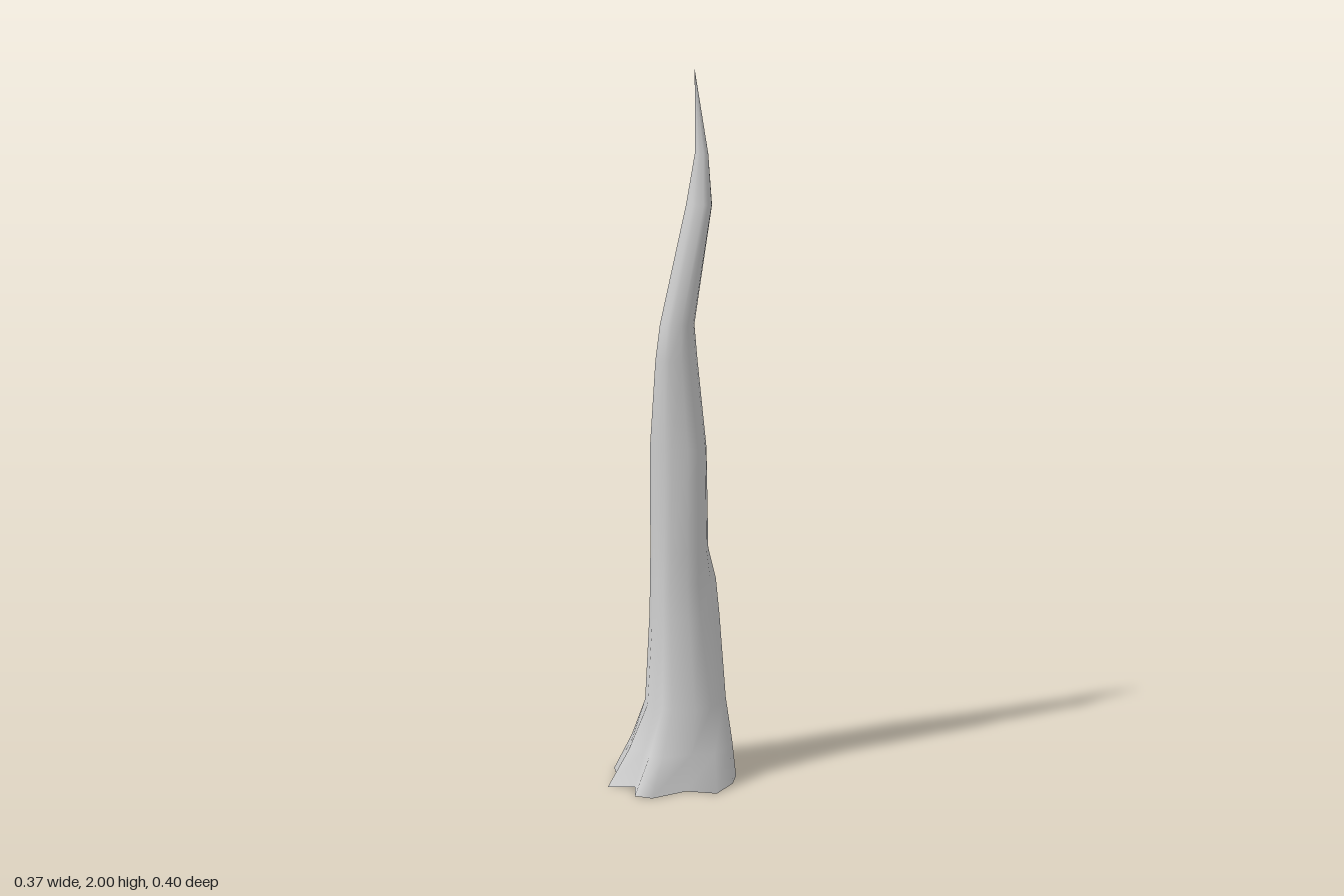
import * as THREE from 'three';

// Root outline on the ground, clockwise from the back [x, z]
const BASE = [
  [0.015, -0.2], [0.13, -0.125], [0.17, -0.065], [0.183, 0], [0.17, 0.095],
  [0.083, 0.11], [0.015, 0.198], [-0.037, 0.198], [-0.065, 0.13], [-0.137, 0.155],
  [-0.143, 0.07], [-0.183, 0], [-0.132, -0.085], [-0.145, -0.145], [-0.055, -0.172],
];

// Trunk sections: y, min x, max x, min z, max z, root flare, swelling at back left
const SECTIONS = [
  [0.1, -0.1, 0.145, -0.18, 0.09, 0.45, 0],
  [0.22, -0.09, 0.13, -0.175, 0.065, 0.08, 0],
  [0.47, -0.085, 0.092, -0.148, 0.042, 0, 0.027],
  [0.57, -0.085, 0.082, -0.145, 0.032, 0, 0.025],
  [0.66, -0.086, 0.08, -0.138, 0.022, 0, 0],
  [0.95, -0.09, 0.075, -0.125, 0.005, 0, 0],
  [1.2, -0.066, 0.05, -0.113, 0.016, 0, 0],
  [1.3, -0.055, 0.04, -0.105, 0, 0, 0],
  [1.63, 0, 0.075, -0.132, -0.075, 0, 0],
  [1.77, 0.017, 0.055, -0.144, -0.11, 0, 0],
  [2, 0.02, 0.02, -0.115, -0.115, 0, 0],
];

function sectionPoint([y, x0, x1, z0, z1, flare, swell], [bx, bz]) {
  const a = Math.atan2(bz, bx);
  const bump = swell * Math.max(0, Math.cos(a + Math.PI * 0.27)) ** 2;
  const x = (x0 + x1) / 2 + ((x1 - x0) / 2 + bump) * Math.cos(a);
  const z = (z0 + z1) / 2 + ((z1 - z0) / 2 + bump) * Math.sin(a);
  return [x + (bx - x) * flare, y, z + (bz - z) * flare];
}

export function createModel() {
  const n = BASE.length;
  const positions = BASE.flatMap(([x, z]) => [x, 0, z]);
  for (const s of SECTIONS) for (const b of BASE) positions.push(...sectionPoint(s, b));

  // Skin neighbouring sections; the bottom stays open
  const index = [];
  for (let r = 0; r < SECTIONS.length; r++) {
    for (let i = 0; i < n; i++) {
      const a = r * n + i, b = r * n + (i + 1) % n;
      index.push(a, a + n, b);
      if (r < SECTIONS.length - 1) index.push(b, a + n, b + n);
    }
  }
  const geometry = new THREE.BufferGeometry();
  geometry.setAttribute('position', new THREE.Float32BufferAttribute(positions, 3));
  geometry.setIndex(index);
  geometry.computeVertexNormals();

  const trunk = new THREE.Mesh(geometry,
    new THREE.MeshStandardMaterial({ color: 0xcccccc, side: THREE.DoubleSide }));
  trunk.name = 'trunk';
  const group = new THREE.Group();
  group.name = 'deadTree';
  group.add(trunk);
  return group;
}
